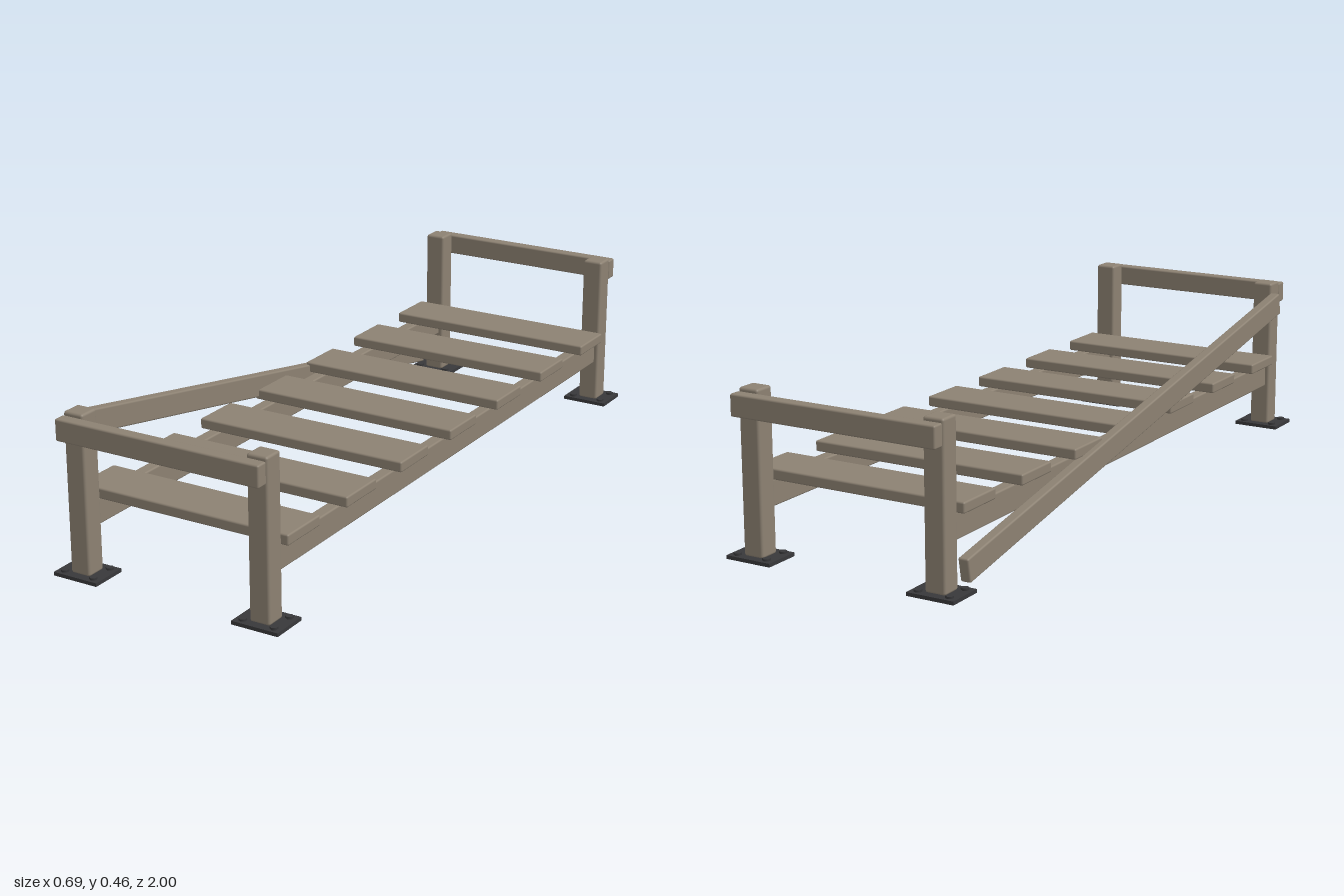
import * as THREE from 'three';
import { RoundedBoxGeometry } from 'three/addons/geometries/RoundedBoxGeometry.js';

export function createModel() {
  const group = new THREE.Group();
  const wood = new THREE.MeshStandardMaterial({ color: 0x8c8172 });
  const metal = new THREE.MeshStandardMaterial({ color: 0x38383a });

  const add = (name, geometry, material, x, y, z) => {
    const mesh = new THREE.Mesh(geometry, material);
    mesh.name = name;
    mesh.position.set(x, y, z);
    group.add(mesh);
    return mesh;
  };
  // Timber with softened edges
  const beam = (name, w, h, d, x, y, z, r = 0.005) =>
    add(name, new RoundedBoxGeometry(w, h, d, 2, r), wood, x, y, z);

  for (const end of [1, -1]) {
    const name = end > 0 ? 'front' : 'back';
    for (const side of [1, -1]) {
      const x = side * 0.277, z = end * 0.932;
      // Corner post on a bolted foot plate
      beam(name + 'Post', 0.06, 0.447, 0.06, x, 0.2315, z, 0.007);
      add(name + 'FootPlate', new THREE.BoxGeometry(0.137, 0.01, 0.107), metal, x, 0.005, z);
      for (const bx of [-0.046, 0.046])
        for (const bz of [-0.035, 0.035])
          add('bolt', new THREE.CylinderGeometry(0.011, 0.011, 0.007, 6), metal, x + bx, 0.0125, z + bz);
    }
    // Rail across the outside of the posts
    beam(name + 'TopRail', 0.612, 0.06, 0.036, 0, 0.416, end * 0.981);
  }

  // Long rails under the slats
  for (const side of [1, -1])
    beam('sideRail', 0.036, 0.073, 1.81, side * 0.277, 0.1655, 0);

  // Seven slats, each laid very slightly askew
  const yaw = [0, 0.004, 0, -0.002, 0.005, 0.003, -0.002];
  yaw.forEach((angle, i) => {
    const slat = beam('slat', 0.644, 0.03, 0.148, 0, 0.217, (i - 3) * 0.274);
    slat.rotation.y = angle;
  });

  // Diagonal brace on the right side, high at the front
  const brace = beam('diagonalBrace', 0.03, 0.066, 1.835, -0.324, 0.2285, 0);
  brace.rotation.x = -0.185;

  return group;
}
